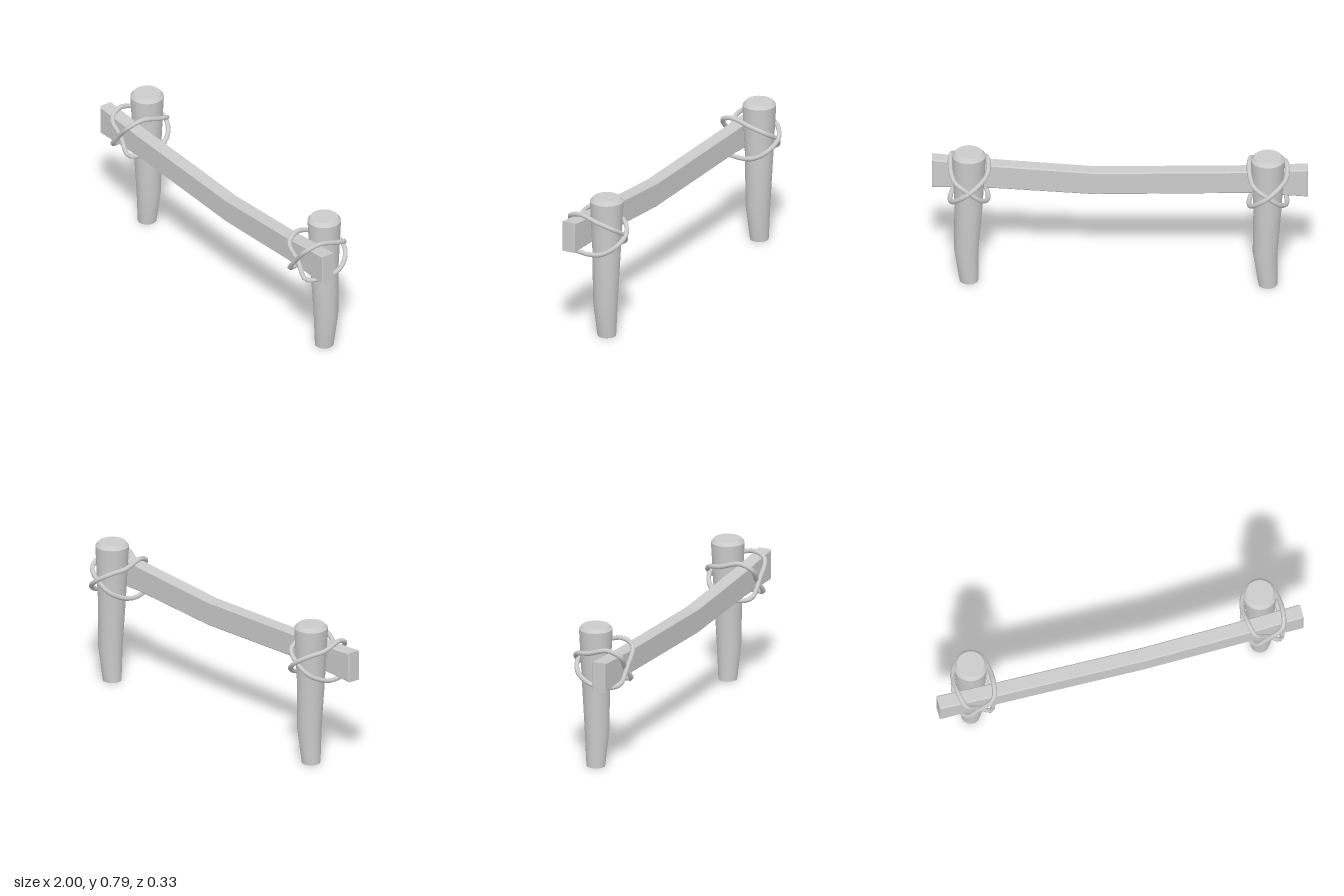
import * as THREE from 'three';
import { toCreasedNormals } from 'three/addons/utils/BufferGeometryUtils.js';

const material = new THREE.MeshStandardMaterial({ color: 0xcccccc });

function addMesh(parent, name, geometry) {
  const mesh = new THREE.Mesh(geometry, material);
  mesh.name = name;
  parent.add(mesh);
}

// Post sections: height, radius, sideways shift of the centre
const SECTIONS = [
  [0, 0.05, 0], [0.2, 0.066, 0.015], [0.47, 0.075, 0.002],
  [0.77, 0.09, 0], [0.79, 0.073, 0],
];

// Slightly bent, upward-flaring log with a bevelled top
function postGeometry() {
  const profile = [new THREE.Vector2(0, 0)];
  for (const [y, r] of SECTIONS) profile.push(new THREE.Vector2(r, y));
  profile.push(new THREE.Vector2(0, 0.79));
  const geometry = new THREE.LatheGeometry(profile, 24);
  const pos = geometry.attributes.position;
  for (let i = 0; i < pos.count; i++) {
    const section = SECTIONS.find(([y]) => Math.abs(y - pos.getY(i)) < 1e-4);
    pos.setX(i, pos.getX(i) + section[2]);
  }
  return toCreasedNormals(geometry, 0.5);
}

// Closed rope loop through a few points
function ropeGeometry(points) {
  const curve = new THREE.CatmullRomCurve3(points.map((p) => new THREE.Vector3(...p)), true);
  return new THREE.TubeGeometry(curve, 40, 0.013, 8, true);
}

// Two tilted loops that cross in front of the rail and behind the post
const ROPE_A = [
  [0, 0.585, 0.153], [0.08, 0.675, 0.145], [0.1, 0.703, 0.07], [0.096, 0.672, -0.04],
  [0.07, 0.642, -0.115], [0, 0.595, -0.138], [-0.065, 0.535, -0.11],
  [-0.098, 0.49, -0.02], [-0.096, 0.482, 0.07], [-0.07, 0.5, 0.14],
];
const ROPE_B = [
  [0, 0.575, 0.138], [-0.07, 0.655, 0.145], [-0.094, 0.69, 0.08], [-0.1, 0.66, -0.03],
  [-0.065, 0.64, -0.11], [0, 0.595, -0.152], [0.065, 0.54, -0.125],
  [0.098, 0.495, -0.05], [0.096, 0.485, 0.06], [0.07, 0.495, 0.14],
];

// Sagging bevelled plank
function railGeometry() {
  const outline = [
    [-1, 0.494], [-0.68, 0.511], [0.13, 0.489], [0.68, 0.519], [1, 0.52],
    [1, 0.69], [0.68, 0.659], [0.13, 0.623], [-0.68, 0.643], [-1, 0.66],
  ];
  const shape = new THREE.Shape(outline.map(([x, y]) => new THREE.Vector2(x, y)));
  const geometry = new THREE.ExtrudeGeometry(shape, {
    depth: 0.066, bevelEnabled: true, bevelThickness: 0.006,
    bevelSize: 0.006, bevelOffset: -0.006, bevelSegments: 1,
  });
  return geometry.translate(0, 0, 0.052);
}

export function createModel() {
  const model = new THREE.Group();
  model.name = 'fence';
  addMesh(model, 'rail', railGeometry());

  for (const [side, x] of [['right', -0.79], ['left', 0.8]]) {
    const support = new THREE.Group();
    support.name = side + 'Support';
    support.position.x = x;
    addMesh(support, side + 'Post', postGeometry().translate(0, 0, -0.035));
    addMesh(support, side + 'RopeA', ropeGeometry(ROPE_A));
    addMesh(support, side + 'RopeB', ropeGeometry(ROPE_B));
    model.add(support);
  }
  return model;
}
